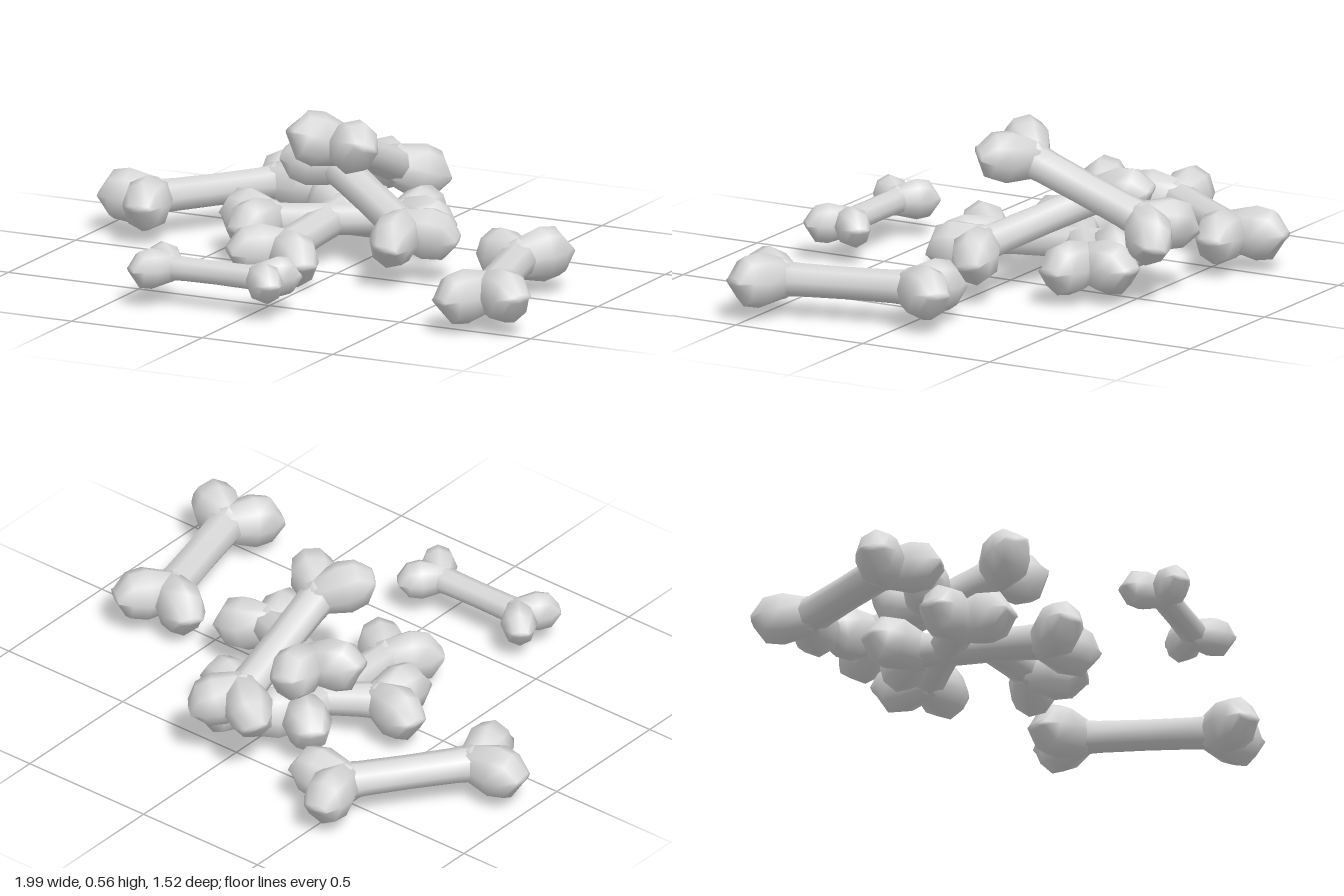
import * as THREE from 'three';
import { mergeVertices } from 'three/addons/utils/BufferGeometryUtils.js';

// Drop seams so the low-poly surface is shaded smoothly.
function smooth(geometry) {
  geometry.deleteAttribute('uv');
  geometry.deleteAttribute('normal');
  const merged = mergeVertices(geometry, 1e-4);
  merged.computeVertexNormals();
  return merged;
}

// Bone lies along local y, wide in x, thin in z.
const HALF = 0.23;         // shaft centre to the fork of the knuckles
const SPLAY = 0.82;        // angle of each knuckle from the shaft

const lathe = (profile) =>
  new THREE.LatheGeometry(profile.map(([r, t]) => new THREE.Vector2(r, t)), 8);

function makeKnuckle() {
  const geometry = lathe([[0, -0.05], [0.058, -0.03], [0.086, 0.09], [0.072, 0.15], [0.047, 0.195], [0, 0.2]]);
  const p = geometry.attributes.position;
  // full thickness almost to the end, then a ridge-like tip
  for (let i = 0; i < p.count; i++) {
    const t = p.getY(i);
    p.setZ(i, p.getZ(i) * (t > 0.17 ? 0.3 : t > 0.12 ? 1.2 : 1.12));
  }
  return smooth(geometry);
}

function makeShaft() {
  const geometry = lathe([[0, -0.31], [0.06, -0.3], [0.072, -0.24], [0.066, -0.16], [0.064, 0],
    [0.066, 0.16], [0.072, 0.24], [0.06, 0.3], [0, 0.31]]);
  return smooth(geometry.scale(1, 1, 0.88));
}

export function createModel() {
  const model = new THREE.Group();
  model.name = 'bonePile';
  const boneGrey = new THREE.MeshStandardMaterial({ color: 0xd8d8d8 });
  boneGrey.name = 'boneGrey';
  const knuckle = makeKnuckle();
  const shaft = makeShaft();

  // centre, direction along the shaft, upward normal of the flat side, size
  function addBone(name, centre, direction, up = [0, 1, 0], size = 1) {
    const bone = new THREE.Group();
    bone.name = name;
    const shaftMesh = new THREE.Mesh(shaft, boneGrey);
    shaftMesh.name = 'shaft';
    bone.add(shaftMesh);
    for (const end of [1, -1]) {
      for (const side of [1, -1]) {
        const mesh = new THREE.Mesh(knuckle, boneGrey);
        mesh.name = 'knuckle';
        mesh.position.y = end * HALF;
        mesh.rotation.z = -side * (end > 0 ? SPLAY : Math.PI - SPLAY);
        bone.add(mesh);
      }
    }
    const y = new THREE.Vector3(...direction).normalize();
    const x = new THREE.Vector3().crossVectors(y, new THREE.Vector3(...up)).normalize();
    const z = new THREE.Vector3().crossVectors(x, y);
    bone.quaternion.setFromRotationMatrix(new THREE.Matrix4().makeBasis(x, y, z));
    bone.position.set(...centre);
    bone.scale.setScalar(size);
    model.add(bone);
  }

  // scattered bones
  addBone('rightBackBone', [-0.66, 0.133, -0.38], [0.42, 0, -0.57], [-0.03, 1, 0]);
  addBone('leftBone', [0.747, 0.13, 0.21], [0.175, 0, 0.7], [-0.09, 1, 0]);
  addBone('smallFrontBone', [-0.143, 0.13, 0.63], [1, 0, 0], [0, 1, 0], 0.74);

  // central heap, from the ground up
  addBone('lowerBone', [-0.132, 0.12, -0.08], [-0.015, 0.04, -0.71], [0.1, 1, 0]);
  addBone('crossingBone', [-0.11, 0.13, -0.222], [0.59, -0.01, -0.395]);
  addBone('leaningBone', [0.052, 0.243, -0.148], [0.59, -0.19, 0.38]);
  addBone('topBone', [-0.025, 0.35, -0.287], [0.03, 0.27, 0.7], [0.1, 1, 0]);

  return model;
}
